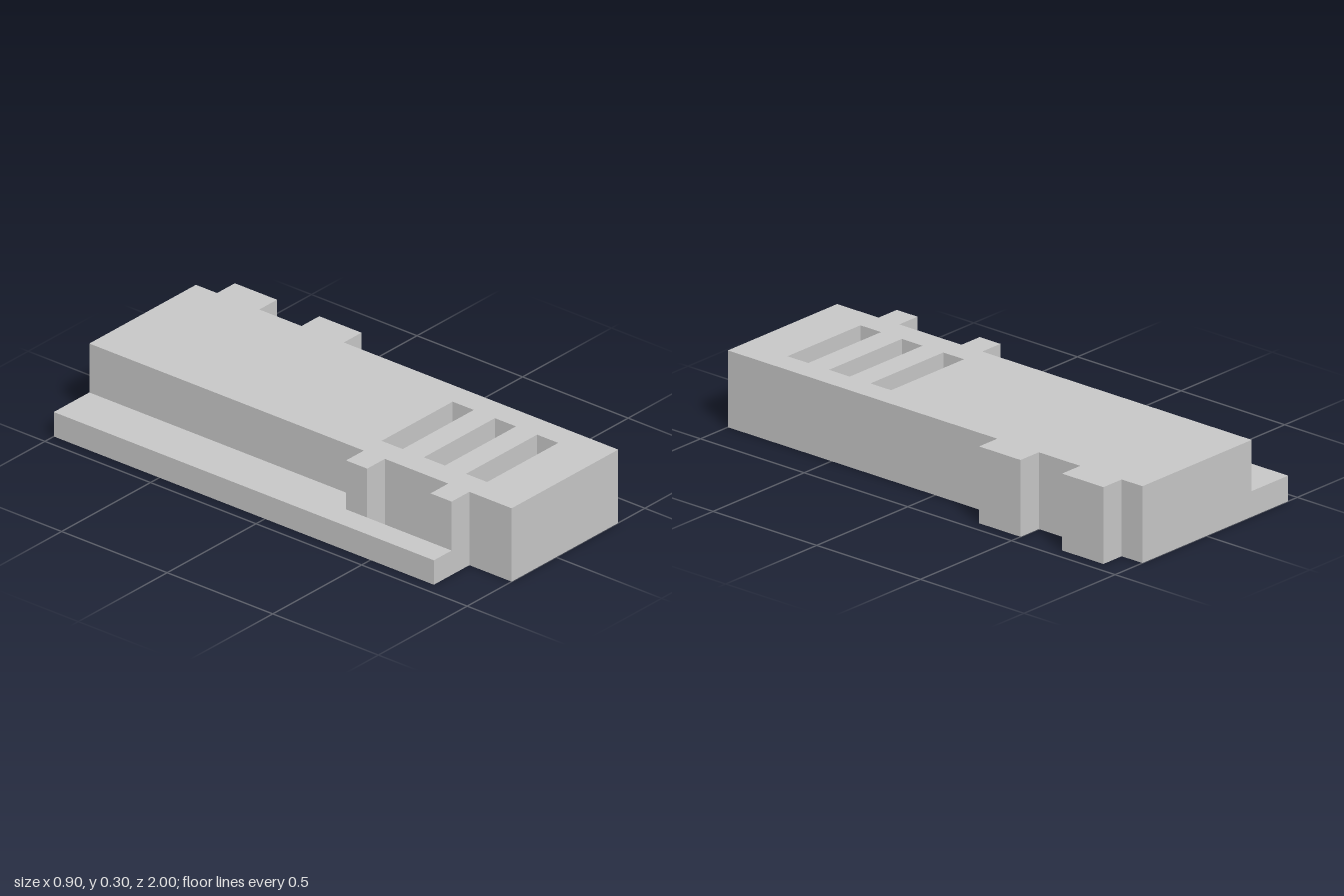
import * as THREE from 'three';

const grey = new THREE.MeshStandardMaterial({ color: 0xc8c8c8 });
grey.name = 'plain grey';

// Plan points are [x, z]; the shape plane uses -z so the extrusion rises along +y
const toPlan = (points) => points.map(([x, z]) => new THREE.Vector2(x, -z));

// Hole corners run opposite to the outlines so the inner walls face into the hole
const rectHole = (x0, x1, z0, z1) => [[x0, z0], [x0, z1], [x1, z1], [x1, z0]];

function layer(name, outline, holes, y0, y1) {
  const shape = new THREE.Shape(toPlan(outline));
  holes.forEach((h) => shape.holes.push(new THREE.Path(toPlan(h))));
  const geometry = new THREE.ExtrudeGeometry(shape, { depth: y1 - y0, bevelEnabled: false });
  geometry.rotateX(-Math.PI / 2);
  geometry.translate(0, y0, 0);
  const mesh = new THREE.Mesh(geometry, grey);
  mesh.name = name;
  return mesh;
}

export function createModel() {
  const model = new THREE.Group();
  model.name = 'slottedBlock';

  // Left edge with its two square tabs, shared by both layers
  const tabbedSide = [[0.35, -1]];
  for (const z of [-0.9, -0.5]) {
    tabbedSide.push([0.35, z], [0.45, z], [0.45, z + 0.2], [0.35, z + 0.2]);
  }
  tabbedSide.push([0.35, 1], [-0.25, 1]);

  // Base with the side ledge and its through hole
  const baseOutline = [[-0.45, -1], ...tabbedSide, [-0.25, 0.8], [-0.45, 0.8]];
  model.add(layer('baseWithLedge', baseOutline, [rectHole(-0.35, -0.25, 0.4, 0.7)], 0, 0.1));

  // Upper body with two lugs over the ledge and three top slots
  const bodyOutline = [[-0.25, -1], ...tabbedSide];
  for (const z of [0.8, 0.4]) {
    bodyOutline.push([-0.25, z], [-0.35, z], [-0.35, z - 0.1], [-0.25, z - 0.1]);
  }
  const slots = [0.3, 0.5, 0.7].map((z) => rectHole(-0.15, 0.25, z, z + 0.1));
  model.add(layer('upperBodyWithSlots', bodyOutline, slots, 0.1, 0.3));

  return model;
}
